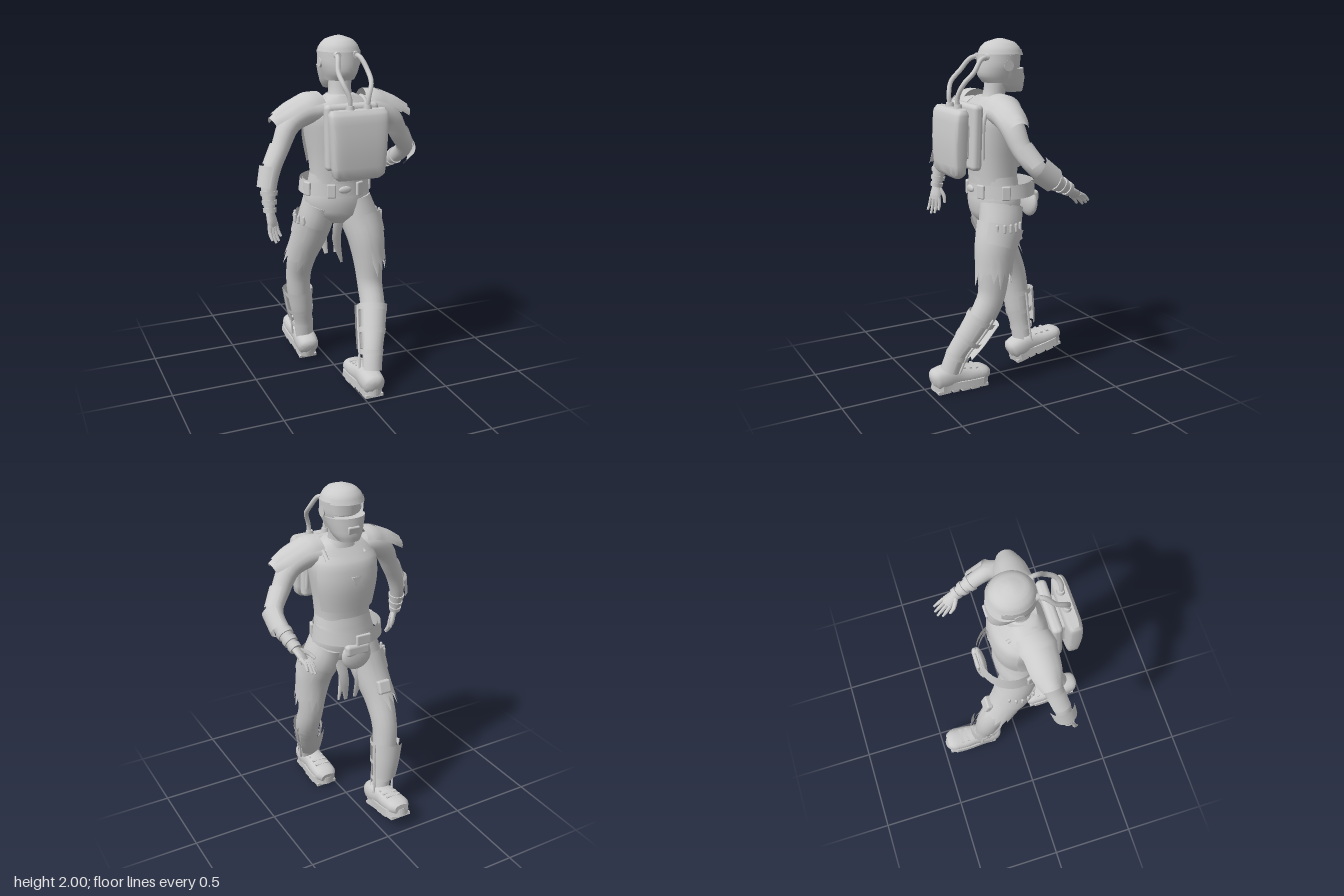
import * as THREE from 'three';
import { toCreasedNormals } from 'three/addons/utils/BufferGeometryUtils.js';
import { RoundedBoxGeometry } from 'three/addons/geometries/RoundedBoxGeometry.js';

const V = (x, y, z) => new THREE.Vector3(x, y, z);
const RAD = Math.PI / 180;
const solid = new THREE.MeshStandardMaterial({ color: 0xcccccc });
const thin = new THREE.MeshStandardMaterial({ color: 0xcccccc, side: THREE.DoubleSide });

function add(parent, name, geo, pos = [0, 0, 0], rot = [0, 0, 0], mat = solid) {
  const m = new THREE.Mesh(geo, mat);
  m.name = name;
  m.position.set(...pos);
  m.rotation.set(...rot);
  parent.add(m);
  return m;
}

// Skin through oval sections [x, y, z, halfWidth, halfDepth].
// from/arc (degrees) leave it open, pow squares it off, jag tears the last edge.
function loft(parent, name, secs, { n = 18, sub = 3, from = 0, arc = 360, pow = 1, jag = 0, flat = null, grow = 0, ref = V(0, 0, 1) } = {}) {
  const path = new THREE.CatmullRomCurve3(secs.map(s => V(s[0], s[1], s[2])));
  const size = new THREE.CatmullRomCurve3(secs.map(s => V(s[3] + grow, s[4] + grow, 0)));
  const rings = (secs.length - 1) * sub, pos = [], idx = [], closed = arc === 360;
  const bend = c => Math.sign(c) * Math.pow(Math.abs(c), pow);
  for (let i = 0; i <= rings; i++) {
    const p = path.getPoint(i / rings), s = size.getPoint(i / rings);
    const t = flat ? flat.clone() : path.getTangent(i / rings);
    const u = t.clone().cross(ref).normalize(), v = t.clone().cross(u);
    for (let j = 0; j <= n; j++) {
      const a = (from + arc * j / n) * RAD;
      const q = p.clone().addScaledVector(u, bend(Math.cos(a)) * s.x).addScaledVector(v, bend(Math.sin(a)) * s.y);
      if (jag && i === rings) q.addScaledVector(t, j % 2 ? jag * (0.7 + 0.5 * Math.sin(j * 2.3)) : 0);
      pos.push(q.x, q.y, q.z);
    }
  }
  const w = n + 1;
  for (let i = 0; i < rings; i++) for (let j = 0; j < n; j++) {
    const a = i * w + j, b = a + 1, c = a + w, d = c + 1;
    idx.push(a, b, c, b, d, c);
  }
  if (closed) for (const [r, end] of [[0, 0], [rings, 1]]) {
    const p = path.getPoint(end), k = pos.length / 3;
    pos.push(p.x, p.y, p.z);
    for (let j = 0; j < n; j++) idx.push(k, r * w + j + (end ? 0 : 1), r * w + j + (end ? 1 : 0));
  }
  const g = new THREE.BufferGeometry();
  g.setAttribute('position', new THREE.Float32BufferAttribute(pos, 3));
  g.setIndex(idx);
  return add(parent, name, toCreasedNormals(g, 0.8), [0, 0, 0], [0, 0, 0], closed ? solid : thin);
}

const tube = (parent, name, pts, r, seg = 28) =>
  add(parent, name, new THREE.TubeGeometry(new THREE.CatmullRomCurve3(pts.map(p => V(...p))), seg, r, 8));

// Lugged boot, toe along -z, sole on y = 0
function boot(parent, name, pos, tilt) {
  const g = new THREE.Group();
  g.name = name;
  loft(g, 'bootUpper', [[0, 0.075, 0.12, 0.03, 0.03], [0, 0.08, 0.1, 0.06, 0.058], [0, 0.085, 0.04, 0.068, 0.066],
    [0, 0.085, -0.04, 0.062, 0.06], [0, 0.075, -0.12, 0.07, 0.05], [0, 0.068, -0.2, 0.068, 0.044], [0, 0.06, -0.235, 0.045, 0.03]],
  { pow: 0.8, ref: V(0, 1, 0) });
  const s = new THREE.Shape();
  s.moveTo(-0.06, 0.07).quadraticCurveTo(0, 0.165, 0.06, 0.07);
  s.bezierCurveTo(0.055, 0, 0.08, -0.06, 0.077, -0.18);
  s.quadraticCurveTo(0, -0.3, -0.077, -0.18);
  s.bezierCurveTo(-0.08, -0.06, -0.055, 0, -0.06, 0.07);
  add(g, 'sole', new THREE.ExtrudeGeometry(s, { depth: 0.044, bevelEnabled: false, curveSegments: 10 }), [0, 0.06, 0], [Math.PI / 2, 0, 0]);
  for (const [z, d, w] of [[0.06, 0.08, 0.11], [-0.01, 0.04, 0.115], [-0.07, 0.05, 0.13], [-0.13, 0.05, 0.14], [-0.19, 0.05, 0.13]])
    add(g, 'soleLug', new THREE.BoxGeometry(w, 0.018, d), [0, 0.009, z]);
  for (const z of [-0.07, -0.11, -0.15])
    add(g, 'bootStrap', new THREE.BoxGeometry(0.09, 0.012, 0.016), [0, 0.128 - (-z - 0.07) * 0.15, z], [-0.15, 0, 0]);
  g.position.set(...pos);
  g.rotation.x = tilt;
  parent.add(g);
}

// Hand hanging along -y, twisted about its length, then turned to point along dir
function hand(parent, name, wrist, dir, side, twist) {
  const g = new THREE.Group();
  g.name = name;
  loft(g, 'palm', [[0, 0.02, 0, 0.024, 0.02], [0, -0.02, 0, 0.031, 0.019], [0, -0.06, 0, 0.038, 0.018], [0, -0.085, 0, 0.036, 0.013]], { n: 12 });
  for (let i = 0; i < 4; i++) {
    const x = (i - 1.5) * 0.019, l = [0.075, 0.095, 0.09, 0.07][i];
    loft(g, 'finger', [[x, -0.07, 0, 0.011, 0.012], [x * 1.2, -0.08 - l / 2, -0.004, 0.0105, 0.011], [x * 1.35, -0.08 - l, 0.006, 0.007, 0.007]], { n: 8 });
  }
  loft(g, 'thumb', [[side * 0.02, -0.015, -0.005, 0.014, 0.014], [side * 0.05, -0.06, -0.02, 0.012, 0.012], [side * 0.056, -0.1, -0.026, 0.008, 0.008]], { n: 8 });
  g.position.set(...wrist);
  g.quaternion.setFromUnitVectors(V(0, -1, 0), V(...dir).normalize());
  g.rotateY(twist);
  parent.add(g);
}

function leg(parent, side, secs, bootPos, tilt) {
  const g = new THREE.Group();
  g.name = side > 0 ? 'rearLeg' : 'frontLeg';
  loft(g, 'trouserLeg', secs);
  const outer = side > 0 ? 180 : 0, thigh = secs.slice(1, 4), shin = secs.slice(5);
  // torn cloth over the thigh
  loft(g, 'tornCloth', thigh, { grow: 0.013, from: outer - 100, arc: 200, n: 18, jag: 0.08 });
  loft(g, 'thighBand', secs.slice(1, 3), { grow: 0.02, from: outer - 50, arc: 100, n: 10 });
  // cartridges and pouch on the thigh
  const [x, y, z, w] = secs[1];
  for (let i = 0; i < 5; i++)
    add(g, 'cartridge', new THREE.CapsuleGeometry(0.009, 0.035, 4, 8),
      [x + side * (w + 0.022 - 0.006 * (i - 2) ** 2), y + 0.01, z + (i - 2) * 0.036]);
  const k = secs[3];
  add(g, 'thighPouch', new RoundedBoxGeometry(0.08, 0.08, 0.04, 2, 0.012), [k[0] - side * 0.01, k[1] + 0.1, k[2] - k[4] + 0.015], [0.35, 0, 0]);
  // shin armour: front and back shells tied by straps
  loft(g, 'shinGuard', shin.slice(0, 3), { grow: 0.034, from: 35, arc: 110, n: 12 });
  loft(g, 'calfGuard', shin, { grow: 0.012, from: 200, arc: 140, n: 12 });
  for (const i of [0, 1, 2]) {
    const a = secs[5 + i], b = secs[6 + i], m = a.map((q, c) => q + (b[c] - q) * 0.25);
    loft(g, 'shinStrap', [a, m], { grow: 0.016, arc: 359.9 });
  }
  for (const d of [-1, 1])
    tube(g, 'shinRod', shin.map(s => [s[0] + d * (s[3] + 0.014), s[1], s[2] - 0.025]), 0.007, 12);
  boot(g, 'boot', bootPos, tilt);
  parent.add(g);
}

function arm(parent, side, secs, dir, twist) {
  const g = new THREE.Group();
  g.name = side > 0 ? 'leftArm' : 'rightArm';
  loft(g, 'sleeve', secs);
  const top = side > 0 ? 180 : 0;
  // layered shoulder plates flaring off the arm
  loft(g, 'shoulderPlate', [[side * 0.12, 1.63, 0.08, 0.085, 0.1], [side * 0.22, 1.61, 0.09, 0.085, 0.1], [side * 0.31, 1.57, 0.095, 0.075, 0.09], [side * 0.385, 1.53, 0.1, 0.066, 0.06]],
    { from: top - 68, arc: 136, n: 12 });
  loft(g, 'shoulderRidge', [[side * 0.19, 1.62, 0.088, 0.095, 0.1], [side * 0.29, 1.58, 0.095, 0.09, 0.09], [side * 0.37, 1.545, 0.1, 0.075, 0.06]],
    { from: top - 40, arc: 80, n: 8 });
  // forearm guard and wrist bands
  loft(g, 'forearmGuard', secs.slice(4, 6), { grow: 0.024, from: top - 75, arc: 150, n: 12 });
  loft(g, 'elbowPad', secs.slice(3, 5), { grow: 0.01, from: top - 55, arc: 110, n: 10 });
  const a = secs[5], b = secs[6];
  for (const f of [0.1, 0.5, 0.85]) {
    const at = q => a.map((c, i) => c + (b[i] - c) * q);
    loft(g, 'wristBand', [at(f), at(f + 0.2)], { grow: 0.008, sub: 1 });
  }
  hand(g, 'hand', b.slice(0, 3), dir, -side, twist);
  parent.add(g);
}

export function createModel() {
  const root = new THREE.Group();
  root.name = 'armouredWalker';
  const up = V(0, 1, 0);

  // Torso and hips
  loft(root, 'torso', [[0, 1.1, 0.04, 0.175, 0.13], [0, 1.22, 0.05, 0.16, 0.125], [0, 1.34, 0.05, 0.168, 0.135], [0, 1.46, 0.045, 0.187, 0.15],
    [0, 1.56, 0.055, 0.2, 0.14], [0, 1.64, 0.07, 0.17, 0.1], [0.01, 1.69, 0.07, 0.08, 0.07]], { n: 28, pow: 0.88, flat: up });
  loft(root, 'hips', [[0, 1.2, 0.04, 0.17, 0.125], [0, 1.1, 0.04, 0.195, 0.14], [0, 1.01, 0.04, 0.175, 0.125], [0, 0.95, 0.03, 0.07, 0.07]], { flat: V(0, -1, 0) });
  loft(root, 'chestPlate', [[0, 1.3, 0.05, 0.165, 0.142], [0, 1.46, 0.045, 0.192, 0.156], [0, 1.57, 0.045, 0.19, 0.14], [0, 1.62, 0.05, 0.165, 0.112]],
    { flat: up, from: 20, arc: 140, grow: 0.008, pow: 0.88 });
  add(root, 'chestBadge', new THREE.CylinderGeometry(0.035, 0.035, 0.012, 3), [0, 1.49, -0.118], [Math.PI / 2, 0, 0]);
  loft(root, 'neck', [[0.01, 1.65, 0.06, 0.075, 0.07], [0.015, 1.71, 0.045, 0.064, 0.062], [0.02, 1.79, 0.03, 0.066, 0.068]], { flat: up });
  loft(root, 'collar', [[0.01, 1.65, 0.06, 0.105, 0.09], [0.01, 1.69, 0.055, 0.08, 0.08]], { flat: up, arc: 359.9 });

  // Helmet: dome, sides, chin guard, recessed face and visor
  const head = new THREE.Group();
  head.name = 'head';
  loft(head, 'helmetDome', [[0.02, 1.915, 0.013, 0.119, 0.126], [0.02, 1.95, 0.013, 0.105, 0.113], [0.02, 1.98, 0.013, 0.075, 0.085], [0.02, 2, 0.013, 0.02, 0.02]], { n: 24, flat: up });
  loft(head, 'helmetSides', [[0.02, 1.765, 0.02, 0.085, 0.095], [0.02, 1.805, 0.022, 0.1, 0.122], [0.02, 1.86, 0.018, 0.116, 0.128], [0.02, 1.92, 0.013, 0.119, 0.126]],
    { n: 24, flat: up, from: 140, arc: 260 });
  loft(head, 'chinGuard', [[0.02, 1.71, -0.06, 0.06, 0.058], [0.02, 1.745, -0.04, 0.083, 0.085], [0.02, 1.8, -0.02, 0.102, 0.102], [0.02, 1.84, -0.01, 0.113, 0.108]], { flat: up, n: 20, pow: 0.9 });
  add(head, 'face', new THREE.SphereGeometry(0.088, 20, 14), [0.02, 1.87, 0.01]);
  loft(head, 'visor', [[0.02, 1.85, 0.01, 0.1, 0.094], [0.02, 1.915, 0.01, 0.102, 0.098]], { flat: up, from: 30, arc: 120 });
  loft(head, 'browBrim', [[0.02, 1.912, 0.012, 0.121, 0.13], [0.02, 1.94, 0.012, 0.113, 0.12]], { flat: up, from: 30, arc: 120 });
  add(head, 'mouthVent', new RoundedBoxGeometry(0.07, 0.045, 0.02, 2, 0.008), [0.02, 1.775, -0.117], [-0.2, 0, 0]);
  for (const s of [-1, 1])
    add(head, 'earDisc', new THREE.CylinderGeometry(0.026, 0.03, 0.015, 16), [0.02 + s * 0.112, 1.86, 0.02], [0, 0, Math.PI / 2]);
  root.add(head);

  // Backpack with back plate, harness and hoses to the helmet
  add(root, 'backPlate', new RoundedBoxGeometry(0.31, 0.36, 0.06, 3, 0.025), [0.01, 1.48, 0.22], [-0.04, 0, 0]);
  add(root, 'packMount', new RoundedBoxGeometry(0.2, 0.2, 0.08, 2, 0.02), [0.01, 1.46, 0.26]);
  loft(root, 'backpack', [[0.01, 1.265, 0.322, 0.12, 0.02], [0.01, 1.29, 0.322, 0.148, 0.038], [0.01, 1.46, 0.321, 0.16, 0.047], [0.01, 1.61, 0.312, 0.167, 0.042], [0.01, 1.64, 0.308, 0.155, 0.025]],
    { n: 32, pow: 0.4, flat: up });
  for (const s of [-1, 1]) {
    const X = q => 0.02 + s * q;
    tube(root, 'hose', [[X(0.05), 1.62, 0.295], [X(0.055), 1.7, 0.3], [X(0.08), 1.77, 0.275], [X(0.085), 1.83, 0.215], [X(0.065), 1.895, 0.16], [X(0.05), 1.905, 0.1]], 0.0135);
    add(root, 'hoseFitting', new THREE.CylinderGeometry(0.02, 0.024, 0.025, 12), [X(0.05), 1.65, 0.297]);
    add(root, 'helmetFitting', new THREE.CylinderGeometry(0.018, 0.022, 0.03, 12), [X(0.052), 1.905, 0.122], [Math.PI / 2, 0, 0]);
    tube(root, 'harnessStrap', [[X(0.13), 1.36, 0.19], [X(0.12), 1.6, 0.165], [X(0.11), 1.67, 0.09], [X(0.12), 1.6, -0.05]], 0.012);
  }

  // Loose belt with buckles and pouches
  loft(root, 'belt', [[0, 1.13, -0.005, 0.205, 0.19], [0, 1.205, -0.005, 0.197, 0.187]], { flat: up, arc: 359.9, n: 36 });
  loft(root, 'beltLining', [[0, 1.13, -0.005, 0.19, 0.175], [0, 1.205, -0.005, 0.182, 0.172]], { flat: up, arc: 359.9, n: 36 });
  loft(root, 'waistSash', [[0, 1.2, 0.045, 0.172, 0.133], [0, 1.25, 0.05, 0.164, 0.13]], { flat: up, arc: 359.9, n: 28 });
  add(root, 'backBuckle', new THREE.SphereGeometry(0.035, 16, 10), [-0.01, 1.17, 0.185]).scale.set(1.1, 0.6, 0.35);
  add(root, 'frontBuckle', new RoundedBoxGeometry(0.09, 0.06, 0.02, 2, 0.008), [0, 1.165, -0.196]);
  for (const a of [20, 65, 115, 160])
    add(root, 'beltLoop', new RoundedBoxGeometry(0.05, 0.08, 0.02, 2, 0.008),
      [0.2 * Math.cos(a * RAD), 1.165, 0.185 * Math.sin(a * RAD)], [0, (90 - a) * RAD, 0]);
  add(root, 'frontPouch', new THREE.SphereGeometry(0.092, 20, 14), [0.03, 1.065, -0.17]).scale.set(1, 0.95, 0.36);
  add(root, 'pouchFlap', new RoundedBoxGeometry(0.15, 0.07, 0.05, 2, 0.02), [0.03, 1.105, -0.178]);
  for (const s of [-1, 1])
    loft(root, 'tornStrip', [[s * 0.07, 1, -0.05, 0.035, 0.008], [s * 0.05, 0.86, -0.07, 0.03, 0.006], [s * 0.03, 0.72, -0.05, 0.012, 0.004]], { n: 8 });
  loft(root, 'rearTornStrip', [[0, 0.98, 0.09, 0.03, 0.008], [-0.01, 0.85, 0.06, 0.028, 0.006], [0.04, 0.68, 0.02, 0.008, 0.004]], { n: 8 });

  // Legs in mid stride
  leg(root, -1, [[-0.1, 1.08, 0.03, 0.095, 0.12], [-0.115, 0.97, 0, 0.102, 0.112], [-0.13, 0.86, -0.045, 0.097, 0.1], [-0.155, 0.72, -0.115, 0.085, 0.088],
    [-0.16, 0.58, -0.175, 0.075, 0.078], [-0.155, 0.46, -0.195, 0.07, 0.075], [-0.14, 0.34, -0.205, 0.062, 0.068], [-0.125, 0.24, -0.215, 0.05, 0.055], [-0.115, 0.14, -0.225, 0.05, 0.053]],
  [-0.11, 0.03, -0.255], 0.24);
  leg(root, 1, [[0.1, 1.08, 0.045, 0.095, 0.13], [0.125, 0.97, 0.07, 0.108, 0.125], [0.145, 0.86, 0.11, 0.1, 0.11], [0.16, 0.72, 0.13, 0.085, 0.095],
    [0.165, 0.58, 0.145, 0.072, 0.08], [0.16, 0.46, 0.2, 0.07, 0.078], [0.13, 0.34, 0.265, 0.063, 0.07], [0.1, 0.24, 0.325, 0.052, 0.056], [0.08, 0.13, 0.365, 0.05, 0.052]],
  [0.06, 0.005, 0.36], 0);

  // Arms: one hanging back, one swung forward
  arm(root, -1, [[-0.12, 1.61, 0.08, 0.06, 0.085], [-0.21, 1.6, 0.085, 0.068, 0.08], [-0.3, 1.55, 0.1, 0.06, 0.07], [-0.365, 1.43, 0.125, 0.05, 0.054],
    [-0.42, 1.33, 0.15, 0.048, 0.05], [-0.45, 1.22, 0.17, 0.042, 0.044], [-0.455, 1.1, 0.195, 0.027, 0.029]], [0.15, -1, 0.22], 0.6);
  arm(root, 1, [[0.12, 1.61, 0.08, 0.06, 0.085], [0.21, 1.6, 0.085, 0.068, 0.08], [0.3, 1.55, 0.09, 0.06, 0.07], [0.37, 1.44, 0.07, 0.052, 0.056],
    [0.435, 1.35, 0.02, 0.047, 0.052], [0.438, 1.275, -0.08, 0.042, 0.046], [0.42, 1.21, -0.195, 0.027, 0.031]], [-0.33, -0.72, -1], 0.7);
  return root;
}
